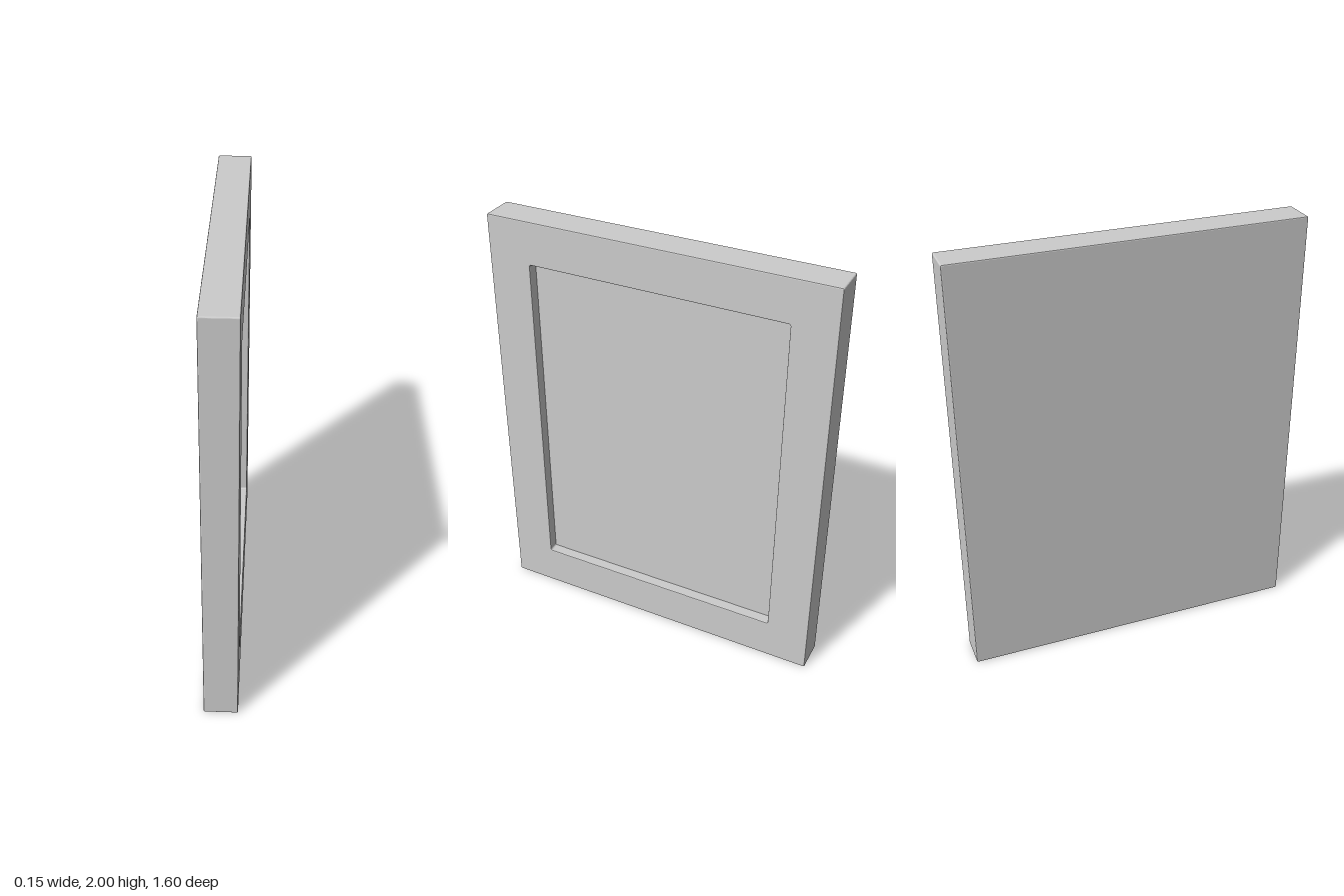
import * as THREE from 'three';

const HALF_T = 0.077, BEVEL = 0.005, FLOOR_X = 0.028;

// Rectangle outline with slightly eased corners, centred on the origin
function roundedRect(path, w, h, r) {
  const x = w / 2 - r, y = h / 2 - r;
  path.absarc(x, y, r, 0, Math.PI / 2);
  path.absarc(-x, y, r, Math.PI / 2, Math.PI);
  path.absarc(-x, -y, r, Math.PI, Math.PI * 1.5);
  path.absarc(x, -y, r, Math.PI * 1.5, Math.PI * 2);
  path.closePath();
  return path;
}

export function createModel() {
  const group = new THREE.Group();
  group.name = 'framedPanel';
  const material = new THREE.MeshStandardMaterial({ color: 0xcccccc });

  // Frame with softly bevelled edges, extruded through the thickness
  const outline = roundedRect(new THREE.Shape(), 1.6, 2, 0.006);
  outline.holes.push(roundedRect(new THREE.Path(), 1.2, 1.6, 0.008));
  const frameGeometry = new THREE.ExtrudeGeometry(outline, {
    depth: 2 * (HALF_T - BEVEL), curveSegments: 3,
    bevelThickness: BEVEL, bevelSize: BEVEL, bevelOffset: -BEVEL, bevelSegments: 2,
  });
  frameGeometry.translate(0, 0, BEVEL - HALF_T);
  frameGeometry.rotateY(Math.PI / 2);
  const frame = new THREE.Mesh(frameGeometry, material);
  frame.name = 'frame';
  frame.position.y = 1;

  // Inset panel: recessed on the +x side, flush with the frame on the back
  const thickness = FLOOR_X + HALF_T;
  const panel = new THREE.Mesh(new THREE.BoxGeometry(thickness, 1.62, 1.22), material);
  panel.name = 'insetPanel';
  panel.position.set((FLOOR_X - HALF_T) / 2, 1, 0);

  group.add(frame, panel);
  return group;
}
